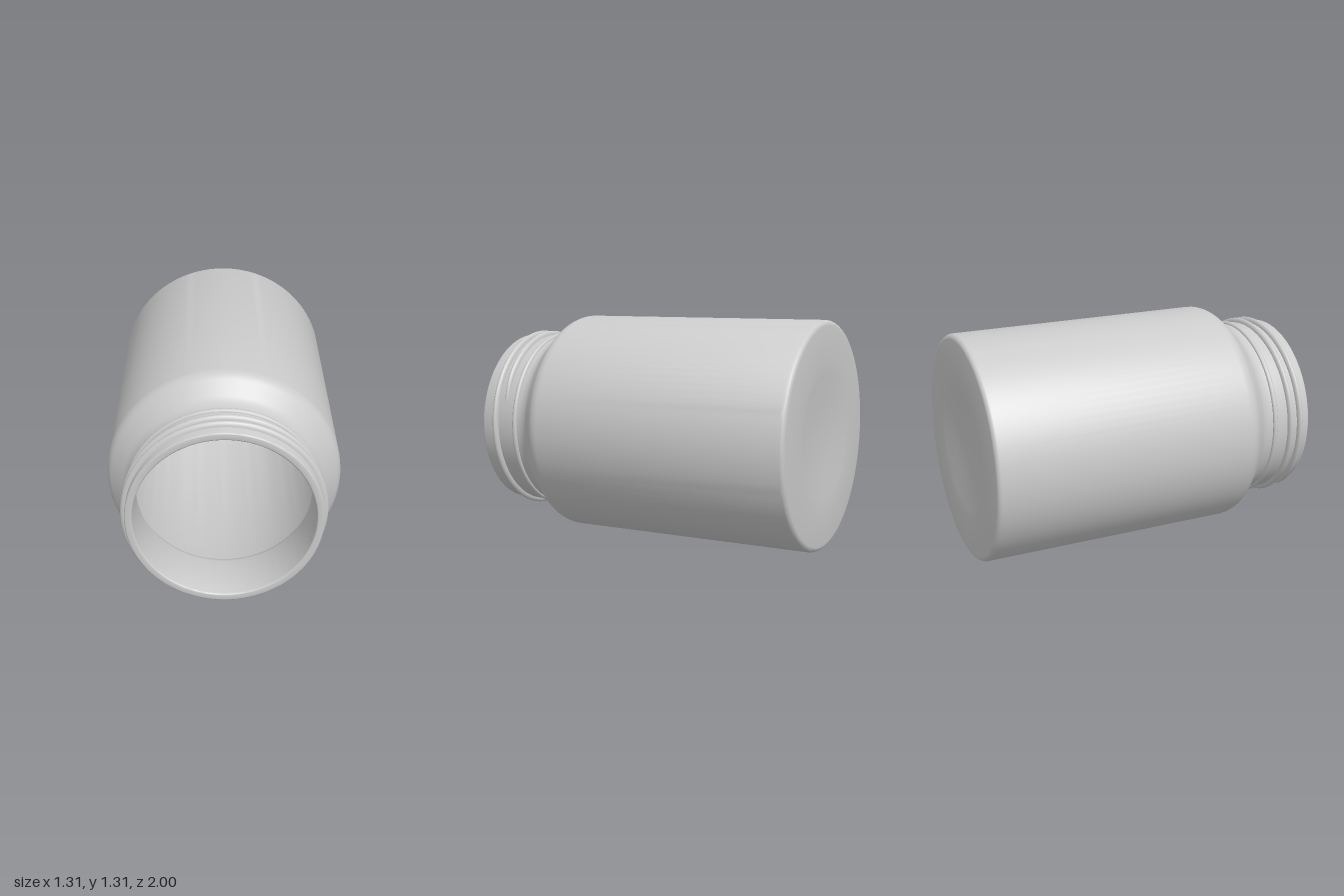
import * as THREE from 'three';
import { toCreasedNormals } from 'three/addons/utils/BufferGeometryUtils.js';

const NECK_R = 0.527, BODY_R = 0.655;
const material = new THREE.MeshStandardMaterial({ color: 0xcccccc });

// Rounded corner: points on an arc about (cx, cy), angles in degrees
function arc(cx, cy, r, from, to, steps = 5) {
  return Array.from({ length: steps + 1 }, (_, i) => {
    const a = THREE.MathUtils.degToRad(from + (to - from) * i / steps);
    return [cx + r * Math.cos(a), cy + r * Math.sin(a)];
  });
}

// Hollow shell: outside from base to lip, then inside back down to the floor
function shellGeometry() {
  const profile = [
    [0, -0.975], [0.2, -0.983], [0.36, -0.997], [0.4, -1],
    ...arc(BODY_R - 0.03, -0.97, 0.03, -90, 0),
    ...arc(BODY_R - 0.1, 0.525, 0.1, 0, 45),
    ...arc(NECK_R + 0.12, 0.745, 0.12, 225, 180, 7),
    ...arc(NECK_R - 0.008, 0.992, 0.008, 0, 90, 3),
    ...arc(0.493, 0.992, 0.008, 90, 180, 3),
    [0.485, 0.7], [0.5, 0.66], [0.595, 0.56], [0.613, 0.52],
    ...arc(0.583, -0.92, 0.03, 0, -90),
    [0, -0.95],
  ].map(([r, y]) => new THREE.Vector2(r, y));
  const lathe = new THREE.LatheGeometry(profile, 96);
  return toCreasedNormals(lathe.rotateX(Math.PI / 2), 0.6);
}

// Screw thread: half-round ridge swept up a helix, fading out at both ends
function threadGeometry() {
  const start = 15, end = 605, steps = 200, sides = 10;
  const positions = [], indices = [];
  for (let i = 0; i <= steps; i++) {
    const deg = start + (end - start) * i / steps;
    const a = THREE.MathUtils.degToRad(deg);
    const z = 0.84 + 0.065 * (deg - start) / 360;
    const fade = Math.sin(Math.PI / 2 * Math.min(1, (deg - start) / 25, (end - deg) / 25));
    for (let j = 0; j <= sides; j++) {
      const b = Math.PI * (j / sides - 0.5);
      const r = NECK_R - 0.003 + 0.029 * fade * Math.cos(b);
      positions.push(r * Math.cos(a), r * Math.sin(a), z + 0.018 * (0.4 + 0.6 * fade) * Math.sin(b));
      if (i < steps && j < sides) {
        const p = i * (sides + 1) + j, q = p + sides + 1;
        indices.push(p, q, p + 1, q, q + 1, p + 1);
      }
    }
  }
  const geometry = new THREE.BufferGeometry();
  geometry.setAttribute('position', new THREE.Float32BufferAttribute(positions, 3));
  geometry.setIndex(indices);
  geometry.computeVertexNormals();
  return geometry;
}

export function createModel() {
  const jar = new THREE.Group();
  jar.name = 'jar';
  const add = (name, geometry, z = 0) => {
    const mesh = new THREE.Mesh(geometry, material);
    mesh.name = name;
    mesh.position.set(0, BODY_R, z);
    jar.add(mesh);
  };
  add('bottleShell', shellGeometry());
  add('neckBead', new THREE.TorusGeometry(NECK_R, 0.015, 12, 96), 0.765);
  add('screwThread', threadGeometry());
  return jar;
}
